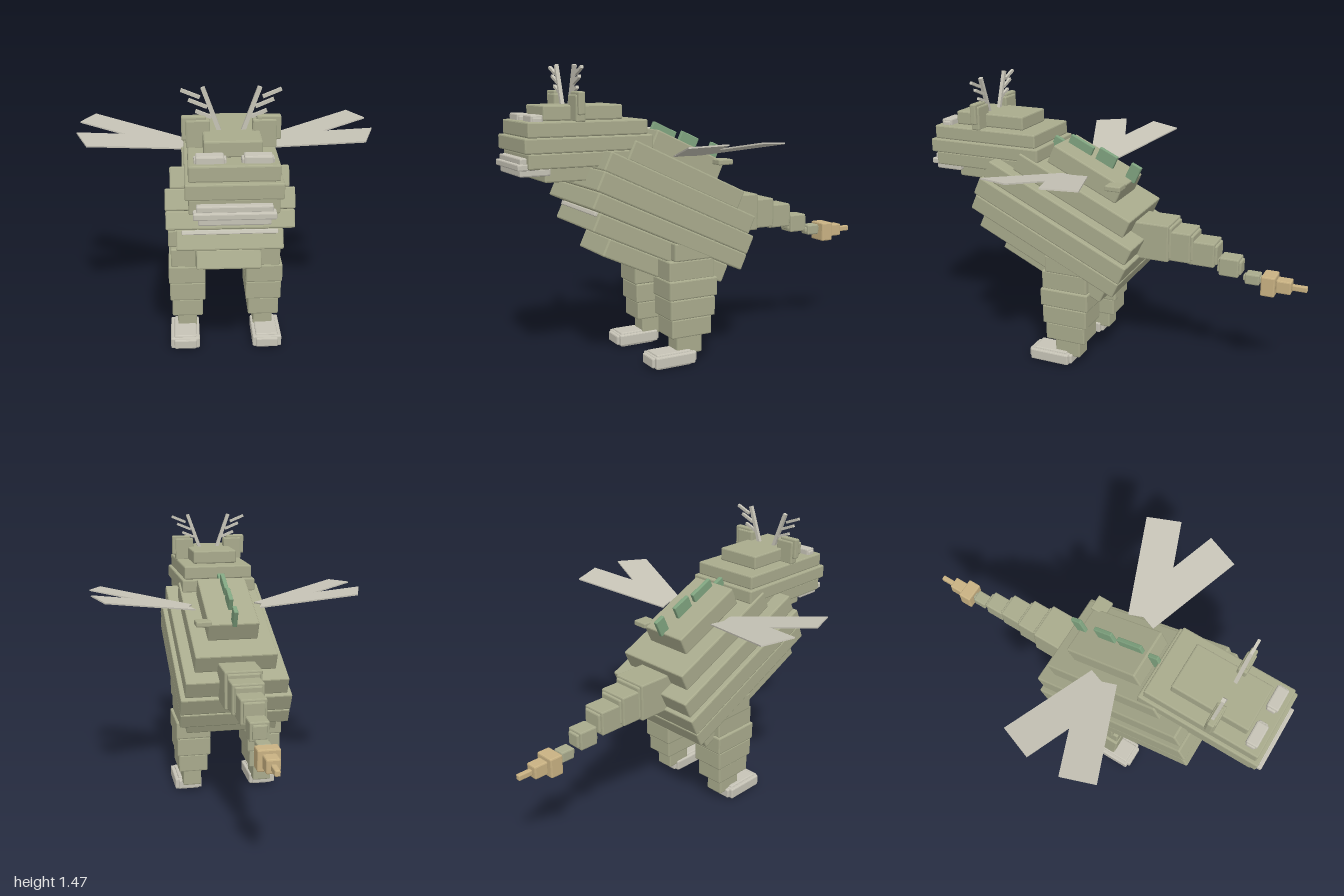
import * as THREE from 'three';
import { RoundedBoxGeometry } from 'three/addons/geometries/RoundedBoxGeometry.js';

const material = (name, color, extra = {}) => {
  const m = new THREE.MeshStandardMaterial({ color, flatShading: true, ...extra });
  m.name = name;
  return m;
};

export function createModel() {
  const hide = material('olive hide', 0xa8aa8c);
  const horn = material('pale horn', 0xc6c3b6);
  const tan = material('tan tip', 0xc8b182);
  const green = material('spine green', 0x7fa37f);

  const model = new THREE.Group();
  model.name = 'wingedBeast';

  const group = (name, parent = model) => {
    const g = new THREE.Group();
    g.name = name;
    parent.add(g);
    return g;
  };

  // Chamfered block given by its limits on each axis
  const block = (parent, name, mat, [x0, x1], [y0, y1], [z0, z1]) => {
    const s = [x1 - x0, y1 - y0, z1 - z0];
    const r = Math.min(0.007, Math.min(...s) * 0.2);
    const mesh = new THREE.Mesh(new RoundedBoxGeometry(...s, 1, r), mat);
    mesh.position.set((x0 + x1) / 2, (y0 + y1) / 2, (z0 + z1) / 2);
    mesh.name = name;
    parent.add(mesh);
    return mesh;
  };
  const centred = (parent, name, mat, w, y, z) => block(parent, name, mat, [-w, w], y, z);

  // Tilted body: stacked slabs [half width, bottom, top, back, front]
  const body = group('body');
  body.position.set(0, 0.757, 0.249);
  body.rotation.x = -THREE.MathUtils.degToRad(25);
  [
    [0.15, -0.318, -0.227, -0.235, 0.235],
    [0.24, -0.227, -0.134, -0.385, 0.372],
    [0.285, -0.134, -0.05, -0.438, 0.435],
    [0.287, -0.05, 0.048, -0.436, 0.45],
    [0.264, 0.048, 0.144, -0.417, 0.444],
    [0.21, 0.144, 0.243, -0.337, 0.33],
    [0.13, 0.243, 0.345, -0.209, 0.205],
  ].forEach(([w, y0, y1, z0, z1], i) => centred(body, `bodySlab${i + 1}`, hide, w, [y0, y1], [z0, z1]));
  centred(body, 'chestBar', horn, 0.215, [-0.157, -0.136], [0.36, 0.385]);

  // Back spines, standing on the slabs
  [
    [0.22, 0.34, 0.205, 0.26],
    [0.335, 0.392, 0.043, 0.182],
    [0.335, 0.412, -0.09, 0.016],
    [0.335, 0.428, -0.225, -0.166],
  ].forEach(([y0, y1, z0, z1], i) => centred(body, `spine${i + 1}`, green, 0.011, [y0, y1], [z0, z1]));
  block(model, 'backKnob', hide, [0.115, 0.195], [0.972, 1.0], [-0.097, -0.015]);

  // Head layers, bottom to top
  const head = group('head');
  [
    [0.12, 0.93, 1.0, 0.47, 0.86],
    [0.185, 1.0, 1.07, 0.37, 0.955],
    [0.2, 1.07, 1.14, 0.35, 0.975],
    [0.185, 1.14, 1.21, 0.37, 0.955],
    [0.12, 1.21, 1.28, 0.47, 0.86],
  ].forEach(([w, y0, y1, z0, z1], i) => centred(head, `headLayer${i + 1}`, hide, w, [y0, y1], [z0, z1]));

  // Mouth plates
  centred(head, 'upperLip', horn, 0.155, [1.02, 1.05], [0.9, 0.985]);
  centred(head, 'middleLip', horn, 0.168, [0.995, 1.025], [0.9, 1.0]);
  centred(head, 'lowerLip', horn, 0.148, [0.965, 1.0], [0.84, 0.985]);

  // Tail segments [half width, bottom, top, back, front, material]
  const tail = group('tail');
  [
    [0.095, 0.605, 0.798, -0.315, -0.1, hide],
    [0.08, 0.61, 0.765, -0.425, -0.3, hide],
    [0.064, 0.6, 0.725, -0.545, -0.41, hide],
    [0.047, 0.56, 0.655, -0.665, -0.565, hide],
    [0.032, 0.53, 0.585, -0.768, -0.695, hide],
    [0.053, 0.49, 0.592, -0.85, -0.78, tan],
    [0.032, 0.508, 0.575, -0.925, -0.85, tan],
    [0.013, 0.526, 0.555, -1.0, -0.925, tan],
  ].forEach(([w, y0, y1, z0, z1, mat], i) => {
    centred(tail, `tailSegment${i + 1}`, mat, w, [y0, y1], [z0, z1]);
    // Raised inner core poking out of each hide segment
    if (i < 5) {
      const k = 0.012;
      centred(tail, `tailCore${i + 1}`, mat, w - k, [y0 + k, y1 - k], [z0 - k, z1 + k]);
    }
  });

  // Square rod between two points in the plane z
  const rod = (parent, name, x0, y0, x1, y1, t, z) => {
    const m = new THREE.Mesh(new THREE.BoxGeometry(Math.hypot(x1 - x0, y1 - y0), t, t), horn);
    m.position.set((x0 + x1) / 2, (y0 + y1) / 2, z);
    m.rotation.z = Math.atan2(y1 - y0, x1 - x0);
    m.name = name;
    parent.add(m);
  };

  for (const s of [1, -1]) {
    const side = s > 0 ? 'left' : 'right';
    const span = (a, b) => (s > 0 ? [a, b] : [-b, -a]);

    // Eyes and ears
    block(head, `${side}Eye`, horn, span(0.04, 0.155), [1.2, 1.24], [0.872, 0.93]);
    block(head, `${side}EyeRim`, horn, span(0.03, 0.162), [1.2, 1.23], [0.878, 0.922]);
    block(head, `${side}OuterEar`, hide, span(0.105, 0.208), [1.237, 1.343], [0.69, 0.724]);
    block(head, `${side}InnerEar`, hide, span(0.088, 0.19), [1.205, 1.328], [0.683, 0.73]);

    // Antler with three tines
    const antler = group(`${side}Antler`, head);
    rod(antler, 'antlerStem', s * 0.05, 1.275, s * 0.118, 1.462, 0.018, 0.705);
    rod(antler, 'antlerTine1', s * 0.083, 1.335, s * 0.148, 1.362, 0.014, 0.705);
    rod(antler, 'antlerTine2', s * 0.1, 1.378, s * 0.177, 1.41, 0.014, 0.705);
    rod(antler, 'antlerTine3', s * 0.13, 1.42, s * 0.208, 1.452, 0.014, 0.705);

    // Two thin wing blades, raised outward
    const wing = group(`${side}Wing`);
    wing.position.set(s * 0.2, 1.032, 0.156);
    wing.rotation.z = s * THREE.MathUtils.degToRad(10);
    for (const k of [1, -1]) {
      const geo = new THREE.BoxGeometry(0.51, 0.007, 0.176);
      geo.translate(s * 0.255, 0, 0);
      const blade = new THREE.Mesh(geo, horn);
      blade.rotation.y = k * THREE.MathUtils.degToRad(20.5);
      blade.position.z = s * k * 0.012;
      blade.name = k * s > 0 ? 'rearWingBlade' : 'frontWingBlade';
      wing.add(blade);
    }

    // Leg blocks [inner x, outer x, bottom, top, back, front]
    const leg = group(`${side}Leg`);
    [
      [0.11, 0.284, 0.53, 0.62, 0.055, 0.28],
      [0.11, 0.272, 0.43, 0.53, 0.055, 0.305],
      [0.102, 0.285, 0.34, 0.435, 0.045, 0.31],
      [0.102, 0.28, 0.24, 0.34, 0.055, 0.302],
      [0.115, 0.27, 0.145, 0.24, 0.07, 0.29],
      [0.145, 0.243, 0.05, 0.145, 0.11, 0.25],
    ].forEach(([x0, x1, y0, y1, z0, z1], i) =>
      block(leg, `legBlock${i + 1}`, hide, span(x0, x1), [y0, y1], [z0, z1]));
    block(leg, 'foot', horn, span(0.134, 0.28), [0.01, 0.068], [0.165, 0.382]);
    block(leg, 'footCore', horn, span(0.15, 0.262), [0, 0.076], [0.18, 0.37]);
    block(leg, 'toe', horn, span(0.15, 0.262), [0.014, 0.064], [0.15, 0.396]);
  }
  return model;
}
